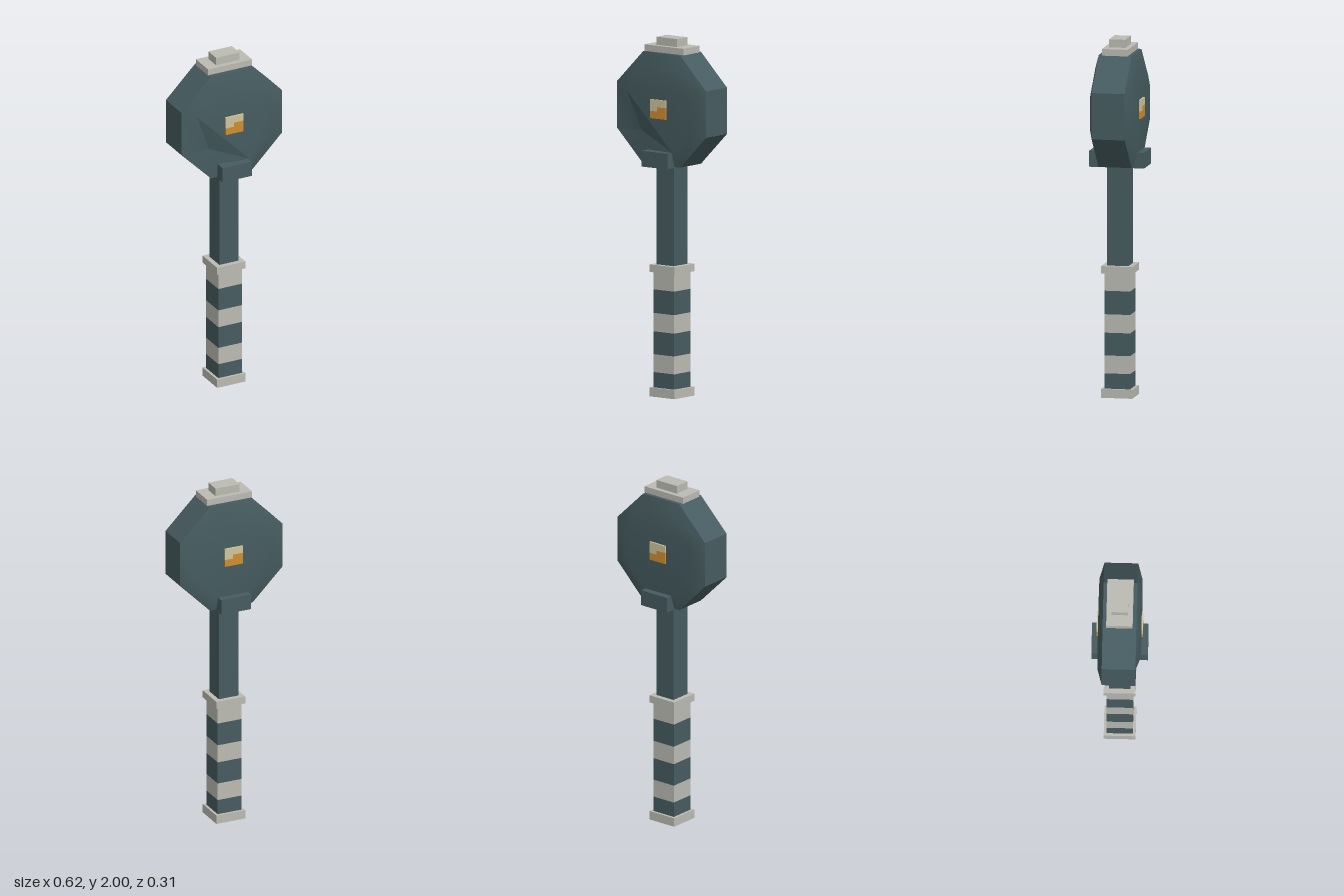
import * as THREE from 'three';

const mat = (name, color) => {
  const m = new THREE.MeshStandardMaterial({ color });
  m.name = name;
  return m;
};

export function createModel() {
  const teal = mat('slate teal', 0x465c60);
  const stone = mat('pale stone', 0xbbbbb3);
  const cream = mat('gem cream', 0xd0c49a);
  const amber = mat('gem amber', 0xcf8d30);
  const group = new THREE.Group();

  const add = (name, geometry, material, parent = group) => {
    const mesh = new THREE.Mesh(geometry, material);
    mesh.name = name;
    parent.add(mesh);
    return mesh;
  };
  // Box given by half width, half depth and its bottom and top heights
  const block = (name, hx, hz, y0, y1, material) => {
    const mesh = add(name, new THREE.BoxGeometry(hx * 2, y1 - y0, hz * 2), material);
    mesh.position.y = (y0 + y1) / 2;
    return mesh;
  };
  const surface = (points, index) => {
    const g = new THREE.BufferGeometry();
    g.setAttribute('position', new THREE.Float32BufferAttribute(points.flat(), 3));
    g.setIndex(index);
    g.computeVertexNormals();
    return g;
  };

  // Handle: pommel with a dark underside, banded grip, guard and shaft
  block('pommel', 0.088, 0.088, 0, 0.05, [stone, stone, stone, teal, stone, stone]);
  const bands = [0.05, 0.135, 0.235, 0.362, 0.465, 0.596, 0.695];
  for (let i = 0; i < bands.length - 1; i++) {
    block('gripBand', 0.073, 0.073, bands[i], bands[i + 1], i % 2 ? stone : teal);
  }
  block('gripGuard', 0.088, 0.088, 0.693, 0.735, stone);
  block('shaft', 0.06, 0.06, 0.735, 1.32, teal);
  block('headCollar', 0.091, 0.156, 1.288, 1.376, teal);

  // Octagonal head: flat rim with bevelled front and back
  const head = new THREE.Group();
  head.name = 'head';
  head.position.y = 1.607;
  group.add(head);
  const octagon = (apothem, z) => Array.from({ length: 8 }, (_, k) => {
    const a = Math.PI / 8 + k * Math.PI / 4, r = apothem / Math.cos(Math.PI / 8);
    return [r * Math.cos(a), r * Math.sin(a), z];
  });
  const rim = new THREE.CylinderGeometry(0.338, 0.338, 0.186, 8, 1, true).toNonIndexed();
  rim.rotateX(Math.PI / 2).rotateZ(Math.PI / 8);
  rim.computeVertexNormals();
  add('headRim', rim, teal, head);

  const bevel = [];
  for (let k = 0; k < 8; k++) {
    const n = (k + 1) % 8;
    bevel.push(k, n, 8 + n, k, 8 + n, 8 + k);
  }
  const fan = (ids) => ids.slice(2).flatMap((id, i) => [8 + ids[0], 8 + ids[i + 1], 8 + id]);
  const outer = octagon(0.3125, 0.093);
  const inner = octagon(0.23, 0.119);

  const back = add('headBack',
    surface([...outer, ...inner], [...bevel, ...fan([0, 1, 2, 3, 4, 5, 6, 7])]), teal, head);
  back.rotation.y = Math.PI;

  // Front has a chipped corner: two bevel points meet in one sunken point
  const chip = [-0.14, -0.132, 0.086];
  const front = inner.map((p, k) => (k === 4 || k === 5 ? chip : p));
  add('headFront',
    surface([...outer, ...front], [...bevel, ...fan([0, 1, 2, 3, 6, 7])]), teal, head);
  add('headChip', surface([inner[3], chip, inner[6]], [0, 1, 2]), teal, head);

  // Square gem on each side, two-tone with a stepped split
  for (const turn of [0, Math.PI]) {
    const gem = new THREE.Group();
    gem.name = turn ? 'backGem' : 'frontGem';
    gem.position.y = 1.611;
    gem.rotation.y = turn;
    group.add(gem);
    const tile = (name, x0, x1, y0, y1, material) => {
      const mesh = add(name, new THREE.BoxGeometry(x1 - x0, y1 - y0, 0.018), material, gem);
      mesh.position.set((x0 + x1) / 2, (y0 + y1) / 2, 0.119);
    };
    tile('gemLightLeft', -0.055, -0.005, -0.012, 0.053, cream);
    tile('gemLightRight', -0.005, 0.055, 0.012, 0.053, cream);
    tile('gemDarkLeft', -0.055, -0.005, -0.053, -0.012, amber);
    tile('gemDarkRight', -0.005, 0.055, -0.053, 0.012, amber);
  }

  // Stepped cap
  block('capBase', 0.137, 0.073, 1.918, 1.955, stone);
  block('capTop', 0.073, 0.046, 1.955, 2, stone);
  return group;
}
